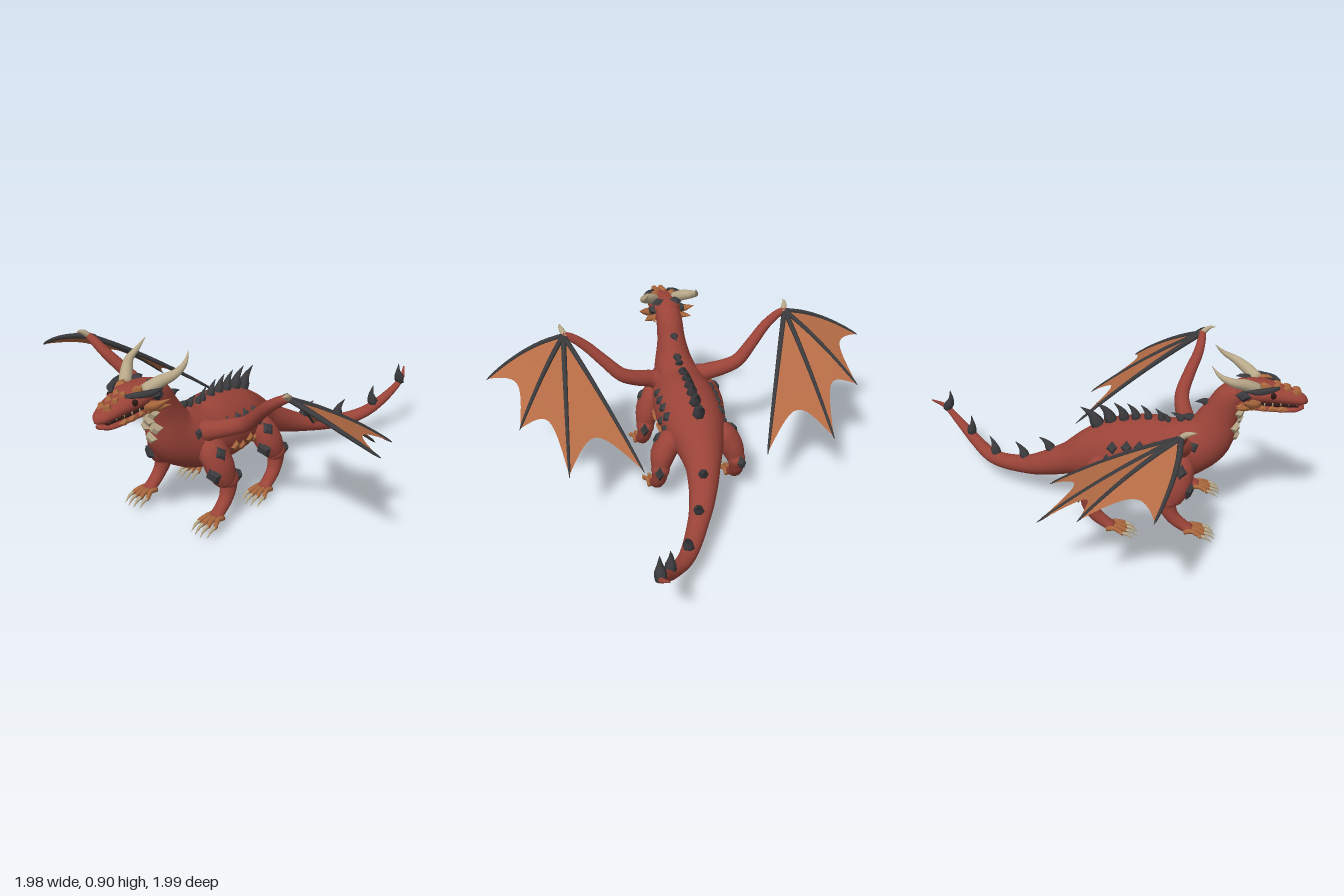
import * as THREE from 'three';
import { mergeGeometries } from 'three/addons/utils/BufferGeometryUtils.js';

const V = (x, y, z) => new THREE.Vector3(x, y, z);
const X = V(1, 0, 0), Y = V(0, 1, 0), Z = V(0, 0, 1);
const DEG = Math.PI / 180;

function mat(name, color) {
  const m = new THREE.MeshStandardMaterial({ color });
  m.name = name;
  return m;
}

// A limb is a smooth path of [x, y, z, rx, ry] stations with elliptical sections.
function limb(pts, ref) {
  const path = new THREE.CatmullRomCurve3(pts.map(p => V(p[0], p[1], p[2])));
  const size = new THREE.CatmullRomCurve3(pts.map(p => V(p[3], p[4] ?? p[3], 0)));
  const at = (t, a) => {
    const c = path.getPoint(t), r = size.getPoint(t), T = path.getTangent(t);
    const S = ref.clone().cross(T).normalize(), U = T.clone().cross(S);
    const rx = Math.max(r.x, 0.001), ry = Math.max(r.y, 0.001);
    const p = c.clone().addScaledVector(S, rx * Math.cos(a)).addScaledVector(U, ry * Math.sin(a));
    const n = S.clone().multiplyScalar(Math.cos(a) / rx).addScaledVector(U, Math.sin(a) / ry).normalize();
    return { c, p, n, T };
  };
  return { at, on: (k, deg) => at(k / (pts.length - 1), deg * DEG) };
}

function skin(l, rows, sides) {
  const pos = [], idx = [];
  for (let i = 0; i <= rows; i++)
    for (let j = 0; j < sides; j++) pos.push(...l.at(i / rows, j / sides * 2 * Math.PI).p.toArray());
  for (let i = 0; i < rows; i++)
    for (let j = 0; j < sides; j++) {
      const k = (j + 1) % sides, a = i * sides + j, b = i * sides + k;
      idx.push(a, b, a + sides, b, b + sides, a + sides);
    }
  const c0 = pos.length / 3, c1 = c0 + 1, e = rows * sides;
  pos.push(...l.at(0, 0).c.toArray(), ...l.at(1, 0).c.toArray());
  for (let j = 0; j < sides; j++) {
    const k = (j + 1) % sides;
    idx.push(c0, k, j, c1, e + j, e + k);
  }
  return grid(pos, idx);
}

function grid(pos, idx) {
  const g = new THREE.BufferGeometry();
  g.setAttribute('position', new THREE.Float32BufferAttribute(pos, 3));
  g.setIndex(idx);
  g.computeVertexNormals();
  return g.toNonIndexed();
}

const tube = (pts, ref, rows = 12, sides = 10) => skin(limb(pts, ref), rows, sides);

function mirror(g) {
  const m = g.clone().scale(-1, 1, 1), idx = [];
  for (let i = 0; i < m.attributes.position.count; i += 3) idx.push(i, i + 2, i + 1);
  m.setIndex(idx);
  return m.toNonIndexed();
}

// Bevelled diamond plate standing on a surface spot.
function plate({ p, n, T }, w, len, h) {
  const g = new THREE.CylinderGeometry(.5, 1, 1, 4).toNonIndexed();
  g.deleteAttribute('uv');
  g.translate(0, .2, 0).scale(w, h, len);
  const side = n.clone().cross(T).normalize(), along = side.clone().cross(n);
  g.applyMatrix4(new THREE.Matrix4().makeBasis(side, n, along).setPosition(p));
  g.computeVertexNormals();
  return g;
}

export function createModel() {
  const group = new THREE.Group();
  const red = mat('redHide', 0x9a4338), orange = mat('orangeScale', 0xa9673c), dark = mat('darkScale', 0x3b3b3e),
    horn = mat('hornIvory', 0xb9a98a), web = mat('wingMembrane', 0xb56c45), mouth = mat('mouthDark', 0x2b1714);
  web.side = THREE.DoubleSide;
  const add = (name, geos, m) => {
    const mesh = new THREE.Mesh(mergeGeometries([geos].flat()), m);
    mesh.name = name;
    group.add(mesh);
  };
  const pair = (name, geos, m) => {
    const g = mergeGeometries([geos].flat());
    add(name + 'Left', g, m);
    add(name + 'Right', mirror(g), m);
  };

  // Neck, body and tail in one sweep
  const body = limb([
    [0, .735, .725, .06, .045], [0, .70, .648, .068, .068], [0, .60, .60, .074, .09], [0, .465, .535, .11, .13],
    [0, .39, .40, .155, .155], [0, .375, .25, .168, .17], [0, .36, .10, .16, .157], [0, .32, -.03, .12, .125],
    [.015, .27, -.15, .085, .08], [.05, .208, -.28, .066, .062], [.10, .16, -.40, .052, .046],
    [.205, .125, -.60, .04, .036], [.295, .16, -.72, .033, .03], [.36, .235, -.83, .024, .022],
    [.392, .31, -.92, .014, .013], [.37, .352, -.985, .004, .004]], Y);
  add('body', skin(body, 90, 24), red);

  // Spikes down the neck, back and tail
  const spikes = [[1.8, .05], [2.6, .06], [3.4, .055], [4.1, .045], [4.5, .055], [4.9, .065], [5.3, .075], [5.65, .085],
    [6, .1], [6.4, .11], [8.5, .075], [9.9, .08], [10.9, .085], [12.4, .085], [13.9, .085]];
  add('backSpikes', spikes.map(([k, h]) => {
    const { p, n, T } = body.on(k, 90);
    const w = .012 + .19 * h;
    const s = (u, t, r, l) => [...p.clone().addScaledVector(n, u * h).addScaledVector(T, t * h).toArray(), r * w, l * h];
    return tube([s(-.25, -.1, .8, .27), s(.12, 0, 1, .31), s(.55, .12, .5, .17), s(1, .5, .05, .01)], T, 7, 6);
  }), dark);

  // Flank, shoulder and throat scales
  const flank = [], row = [];
  for (let i = 0; i < 4; i++) {
    flank.push(plate(body.on(4.65 + i * .42, 151), .033, .033, .016));
    if (i > 1) flank.push(plate(body.on(4.85 + i * .42, 172), .03, .03, .016));
  }
  flank.push(plate(body.on(3.3, 165), .03, .036, .014));
  for (let i = 0; i < 6; i++) row.push(plate(body.on(4.1 + i * .38, 196 + (i % 2) * 6), .032, .038, .018));
  pair('flankScales', flank, dark);
  pair('sideScales', row, orange);
  const throat = [];
  for (let i = 0; i < 6; i++)
    for (const a of i % 2 ? [270] : [248, 292]) throat.push(plate(body.on(.95 + i * .31, a), .035, .04, .022));
  add('throatScales', throat, horn);

  // Skull, jaw and mouth
  const skull = limb([[0, .725, .615, .02, .02], [0, .735, .69, .072, .05], [0, .738, .78, .088, .05], [0, .728, .86, .072, .042],
    [0, .715, .93, .054, .034], [0, .702, .975, .036, .024], [0, .693, .995, .01, .008]], Y);
  add('skull', skin(skull, 24, 20), red);
  add('lowerJaw', tube([[0, .69, .65, .055, .035], [0, .674, .76, .072, .028], [0, .664, .86, .06, .021],
    [0, .661, .94, .044, .017], [0, .667, .982, .015, .008]], Y, 16, 16), red);
  add('mouthInside', tube([[0, .69, .72, .068, .012], [0, .685, .85, .055, .012], [0, .679, .955, .032, .01]], Y, 8, 12), mouth);
  const teeth = [], lips = [];
  for (let i = 0; i < 5; i++) {
    const z = .80 + i * .037, x = .063 - i * .0085;
    teeth.push(tube([[x, .70, z, .004], [x, .69, z, .003], [x, .682, z, .001]], Z, 3, 5));
    const lz = .70 + i * .045, lx = .068 - Math.max(0, i - 1) * .005;
    lips.push(plate({ p: V(lx, .675 - i * .002, lz), n: V(1, -.1, .1).normalize(), T: Z }, .018, .034, .012));
  }
  pair('teeth', teeth, horn);
  pair('lipScales', lips, orange);
  add('noseScales', [.85, .895, .94].flatMap((z, i) => [0, 1].map(s => plate(
    { p: V((s - .5) * .036, .769 - i * .011, z), n: V((s - .5) * .5, 1, .15).normalize(), T: Z }, .021, .027, .018))), orange);

  // Brows, eyes and cheek frills
  pair('brow', [
    tube([[.04, .772, .86, .008, .007], [.07, .775, .83, .018, .012], [.10, .772, .77, .02, .014], [.118, .778, .71, .004, .004]], Y, 8, 6),
    plate({ p: V(.05, .78, .70), n: V(.3, 1, 0).normalize(), T: Z }, .035, .045, .014),
    plate({ p: V(.08, .735, .70), n: V(1, .2, -.2).normalize(), T: Z }, .03, .04, .02)], dark);
  const eye = new THREE.SphereGeometry(.015, 12, 8).toNonIndexed();
  eye.deleteAttribute('uv');
  pair('eye', eye.translate(.07, .743, .835), mouth);
  pair('browScale', plate({ p: V(.05, .785, .79), n: V(.4, 1, 0).normalize(), T: Z }, .024, .038, .014), orange);
  pair('cheekFrill', [
    tube([[.06, .70, .76, .028, .03], [.10, .705, .74, .02, .026], [.148, .733, .70, .001, .002]], Z, 6, 6),
    tube([[.05, .68, .73, .022, .028], [.09, .68, .71, .015, .02], [.125, .69, .67, .001, .002]], Z, 6, 6)], orange);
  pair('horn', tube([[.055, .765, .76, .03], [.092, .798, .71, .028], [.132, .825, .65, .02],
    [.137, .855, .59, .011], [.124, .897, .55, .001]], Y, 16, 10), horn);

  // Wings: arm, thumb claw, four fingers and scalloped membranes
  pair('wingArm', tube([[.08, .45, .43, .045], [.15, .475, .425, .045], [.235, .505, .40, .04], [.31, .54, .39, .036],
    [.39, .615, .415, .031], [.48, .70, .452, .026], [.55, .752, .462, .021], [.59, .772, .462, .014]], Z, 28, 14), red);
  pair('wingClaw', tube([[.575, .76, .455, .016], [.588, .785, .48, .014], [.595, .797, .505, .008], [.592, .80, .525, .001]], X, 8, 8), horn);
  const wrist = V(.585, .765, .46);
  const tips = [V(.988, .60, .40), V(.865, .49, .07), V(.667, .33, -.15), V(.31, .31, -.17)];
  const fingers = tips.map((tip, i) => new THREE.QuadraticBezierCurve3(wrist,
    wrist.clone().lerp(tip, .5).add(V(0, .045, i === 0 ? .05 : 0)), tip));
  pair('wingFingers', fingers.map(f => tube([0, .25, .5, .75, .95, 1].map((t, i) =>
    [...f.getPoint(t).toArray(), [.014, .013, .011, .009, .006, .001][i]]), Y, 14, 7)), dark);
  const N = 12;
  pair('wingMembrane', [0, 1, 2].map(f => {
    const pos = [], idx = [];
    for (let i = 0; i <= N; i++)
      for (let j = 0; j <= N; j++) {
        const s = j / N, t = i / N * (.985 - .9 * s * (1 - s));
        pos.push(...fingers[f].getPoint(t).lerp(fingers[f + 1].getPoint(t), s).toArray());
        if (i < N && j < N) {
          const a = i * (N + 1) + j, b = a + N + 1;
          idx.push(a, b, a + 1, b, b + 1, a + 1);
        }
      }
    return grid(pos, idx);
  }), web);

  // Legs: front and hind pairs with plates, toes and claws
  const legs = [
    { name: 'front',
      thigh: [[.10, .41, .43, .045, .05], [.145, .36, .425, .075, .065], [.178, .29, .415, .075, .062], [.195, .215, .395, .055, .047], [.196, .195, .39, .035, .03]],
      shin: [[.195, .25, .39, .045, .04], [.2, .19, .38, .045, .04], [.206, .13, .405, .034, .034], [.207, .085, .455, .028, .032], [.207, .062, .50, .02, .036]] },
    { name: 'hind',
      thigh: [[.09, .345, .055, .045, .05], [.14, .32, .045, .072, .065], [.178, .26, .03, .072, .062], [.195, .20, .01, .055, .047], [.196, .18, .005, .035, .03]],
      shin: [[.195, .23, .01, .045, .04], [.2, .17, 0, .045, .04], [.206, .105, .025, .034, .034], [.207, .06, .075, .028, .032], [.207, .035, .12, .02, .036]] }];
  for (const { name, thigh, shin } of legs) {
    const upper = limb(thigh, X), lower = limb(shin, X);
    pair(name + 'Thigh', skin(upper, 20, 16), red);
    pair(name + 'Shin', skin(lower, 20, 14), red);
    pair(name + 'LegScales', [plate(upper.on(2.1, 165), .042, .05, .018), plate(upper.on(1.2, 100), .032, .038, .014),
      plate(lower.on(.7, 20), .025, .04, .025)], dark);
    // Toes with claws
    const [fx, fy, fz] = shin[4], toes = [], claws = [];
    for (let i = 0; i < 4; i++) {
      const d = i - 1.5, x = fx + d * .021, x2 = fx + d * .031, reach = Math.abs(d) < 1 ? .012 : 0;
      toes.push(tube([[x, fy, fz - .03, .013], [x, fy + .008, fz + .01 + reach, .0125], [x2, fy - .006, fz + .05 + reach, .011],
        [x2, fy - .012, fz + .06 + reach, .006]], X, 8, 8));
      claws.push(tube([[x2, fy - .004, fz + .04 + reach, .01], [x2, fy - .01, fz + .075 + reach, .0075],
        [x2, fy - .034, fz + .106 + reach, .001]], X, 6, 7));
    }
    pair(name + 'Toes', toes, orange);
    pair(name + 'Claws', claws, horn);
  }
  return group;
}
